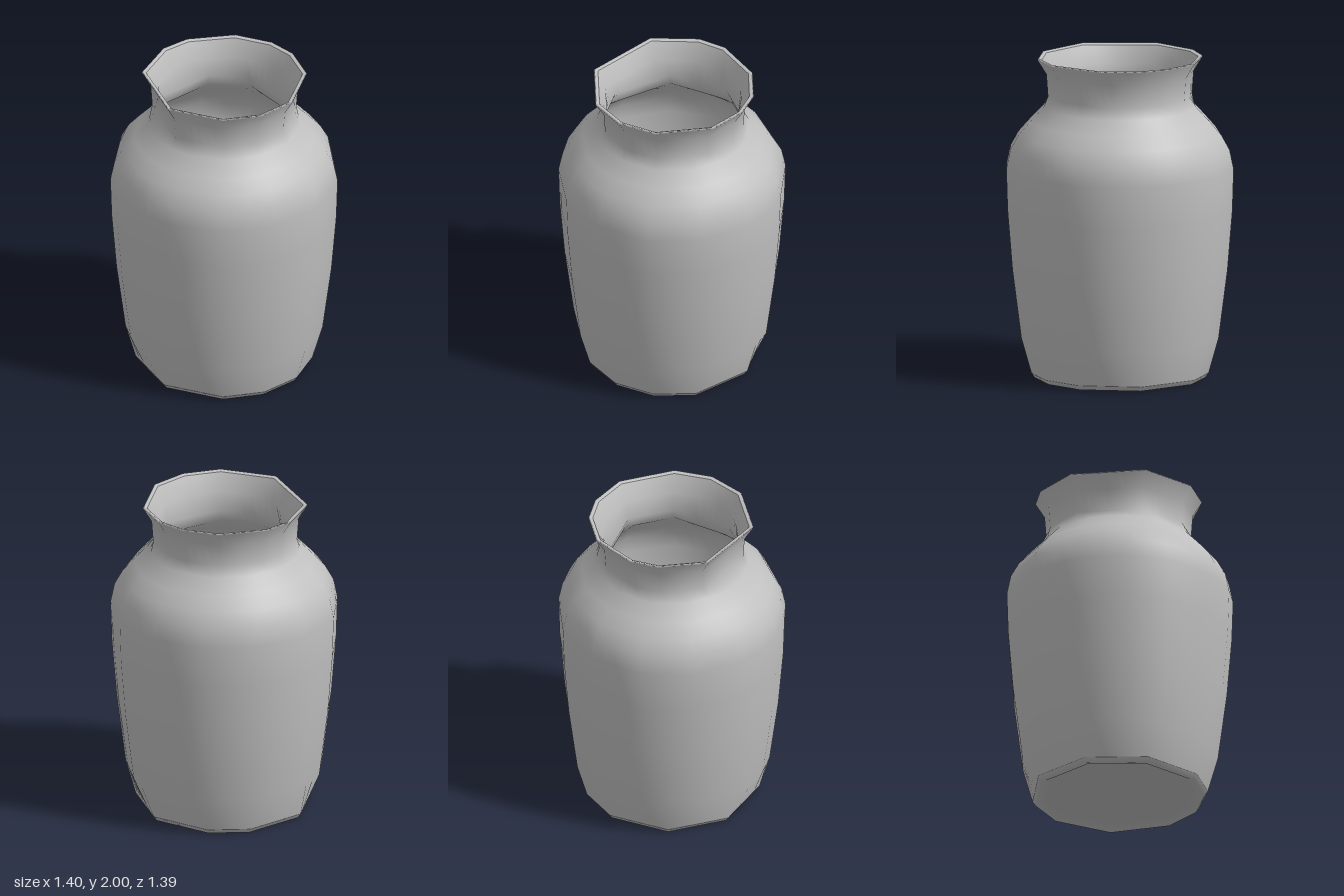
import * as THREE from 'three';

const SIDES = 26;
const STEPS = SIDES * 2;

// Corners kept on each level of the jar, numbered around a 26-sided ring
const BASE = [0, 2, 4, 6, 9, 12, 14, 17, 20, 23];
const BODY = [0, 1, 2, 4, 6, 8, 9, 10, 12, 14, 16, 18, 20, 21, 22, 23, 24];
const RIM = [0, 2, 4, 7, 9, 10.5, 12.5, 15, 16.5, 19, 23];
const THROAT = [0, 4, 7, 11.5, 14, 18, 22, 24.5];

// How far a straight-sided ring lies inside its circle at position t
function inset(corners, t) {
  const k = corners.findLastIndex((c) => c <= t);
  const a = corners[k];
  const b = k + 1 < corners.length ? corners[k + 1] : SIDES;
  const unit = (Math.PI * 2) / SIDES;
  return Math.cos(((b - a) / 2) * unit) / Math.cos((t - (a + b) / 2) * unit);
}

// Turn a profile of [radius, height, corners], then flatten each ring into facets
function facetedLathe(profile) {
  const geometry = new THREE.LatheGeometry(profile.map(([r, y]) => new THREE.Vector2(r, y)), STEPS);
  const position = geometry.attributes.position;
  for (let i = 0; i < position.count; i++) {
    const ring = i % profile.length;
    const step = Math.floor(i / profile.length) % STEPS;
    const f = inset(profile[ring][2], step / 2);
    position.setX(i, position.getX(i) * f);
    position.setZ(i, position.getZ(i) * f);
  }
  return geometry;
}

export function createModel() {
  const group = new THREE.Group();
  group.name = 'vase';
  const clay = new THREE.MeshStandardMaterial({ color: 0xc0c0c0 });
  clay.name = 'grey clay';

  const add = (name, profile) => {
    const mesh = new THREE.Mesh(facetedLathe(profile), clay);
    mesh.name = name;
    group.add(mesh);
  };

  // Slightly hollow underside
  add('foot', [
    [0, 0.025, BASE], [0.47, 0.025, BASE], [0.5, 0.005, BASE], [0.53, 0, BASE], [0.55, 0.03, BASE],
  ]);

  // Outer wall, shoulder, neck and flared lip, folding over to the inside
  add('outerWall', [
    [0.55, 0.03, BASE], [0.612, 0.25, BODY], [0.667, 0.68, BODY], [0.697, 1.05, BODY],
    [0.705, 1.31, BODY], [0.68, 1.43, BODY], [0.63, 1.52, BODY], [0.56, 1.6, BODY],
    [0.475, 1.69, BODY], [0.447, 1.76, RIM], [0.457, 1.9, RIM], [0.513, 1.99, RIM],
    [0.505, 2, RIM], [0.485, 1.99, RIM],
  ]);

  // Hollow inside down to the floor
  add('innerWall', [
    [0.485, 1.99, RIM], [0.435, 1.88, RIM], [0.42, 1.76, THROAT], [0.45, 1.68, THROAT],
    [0.52, 1.6, BODY], [0.59, 1.52, BODY], [0.64, 1.43, BODY], [0.665, 1.31, BODY],
    [0.657, 1.05, BODY], [0.627, 0.68, BODY], [0.572, 0.25, BODY], [0.51, 0.07, BASE],
    [0.45, 0.05, BASE], [0, 0.05, BASE],
  ]);

  return group;
}
